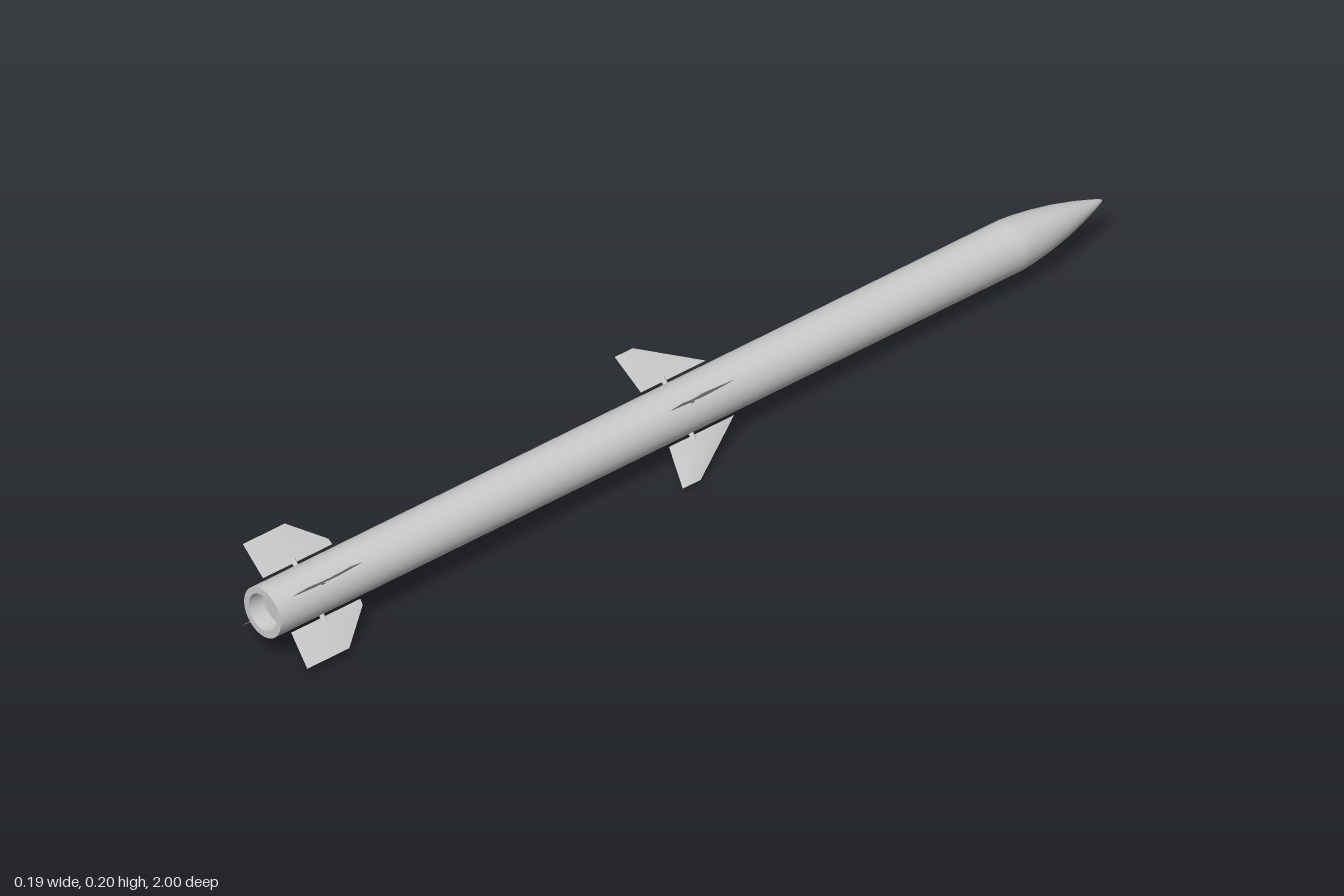
import * as THREE from 'three';
import { toCreasedNormals } from 'three/addons/utils/BufferGeometryUtils.js';

const grey = new THREE.MeshStandardMaterial({ color: 0xcccccc });

function mesh(name, geometry) {
  const m = new THREE.Mesh(geometry, grey);
  m.name = name;
  return m;
}

// Round part from [radius, distance from tail] points, laid along -z
function round(name, points) {
  const geo = new THREE.LatheGeometry(points.map(([r, d]) => new THREE.Vector2(r, d)), 48);
  geo.rotateX(-Math.PI / 2).translate(0, 0, 1);
  return mesh(name, geo);
}

// Lens-shaped blade from sections [radius, leading z, trailing z, half thickness]
function bladeGeometry(sections) {
  const N = 16, pos = [], idx = [];
  for (const [r, z0, z1, t] of sections) {
    for (let i = 0; i < N; i++) {
      const a = (i / N) * Math.PI * 2, s = Math.sin(a);
      pos.push(r, t * s * Math.abs(s), (z0 + z1) / 2 - ((z1 - z0) / 2) * Math.cos(a));
    }
  }
  const top = (sections.length - 1) * N;
  for (let i = 0; i < N; i++) {
    const j = (i + 1) % N;
    for (let k = 0; k < top; k += N) {
      idx.push(k + i, k + j, k + i + N, k + j, k + j + N, k + i + N);
    }
    // End caps
    if (i > 0 && i < N - 1) idx.push(0, j, i, top, top + i, top + j);
  }
  const geo = new THREE.BufferGeometry();
  geo.setAttribute('position', new THREE.Float32BufferAttribute(pos, 3));
  geo.setIndex(idx);
  return toCreasedNormals(geo, 0.5);
}

// Four blades in a cross, each on a short pivot
function finSet(name, sections, pivotZ) {
  const set = new THREE.Group();
  set.name = name;
  const blade = bladeGeometry(sections);
  const pivot = new THREE.CylinderGeometry(0.005, 0.005, 0.018, 12);
  pivot.rotateZ(-Math.PI / 2).translate(0.054, 0, pivotZ);
  for (let i = 0; i < 4; i++) {
    const fin = new THREE.Group();
    fin.name = name + 'Blade';
    fin.add(mesh('blade', blade), mesh('pivot', pivot));
    fin.rotation.z = Math.PI / 4 + (i * Math.PI) / 2;
    set.add(fin);
  }
  return set;
}

export function createModel() {
  const model = new THREE.Group();
  model.name = 'missile';
  const body = new THREE.Group();
  body.name = 'airframe';

  // Tube, nose and recessed nozzle
  body.add(
    round('tube', [[0.05, 0], [0.05, 1.78]]),
    round('noseCone', [[0.05, 1.78], [0.0475, 1.81], [0.042, 1.85], [0.0335, 1.895],
      [0.022, 1.94], [0.0095, 1.98], [0.003, 1.997], [0, 2]]),
    round('tailRim', [[0.037, 0], [0.05, 0]]),
    round('nozzleWall', [[0.037, 0.035], [0.037, 0]]),
    round('nozzleFloor', [[0, 0.035], [0.037, 0.035]])
  );

  // Mid wings and tail fins
  body.add(
    finSet('midWing', [[0.055, -0.09, 0.065, 0.003], [0.133, 0.037, 0.08, 0.0015]], 0.01),
    finSet('tailFin', [[0.055, 0.8, 0.965, 0.003], [0.067, 0.802, 0.966, 0.003],
      [0.126, 0.87, 0.97, 0.0018]], 0.89)
  );

  // Slight nose-down lean
  const axis = new THREE.Vector3(0.009, -0.0118, -1).normalize();
  body.quaternion.setFromUnitVectors(new THREE.Vector3(0, 0, -1), axis);
  body.position.set(0.001, 0.0962, 0);
  model.add(body);
  return model;
}
